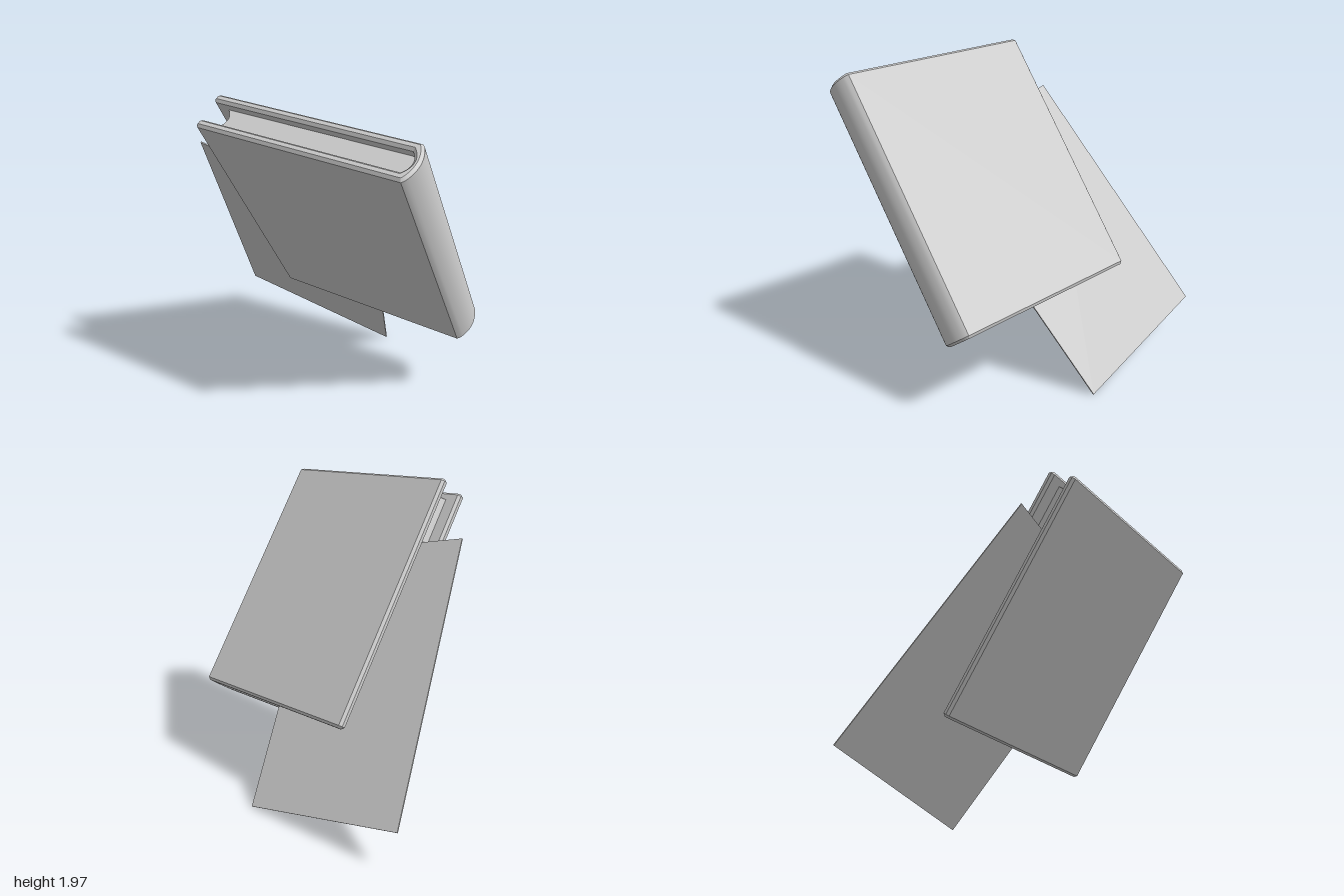
import * as THREE from 'three';
import { toCreasedNormals } from 'three/addons/utils/BufferGeometryUtils.js';

const THICK = 0.245, HEIGHT = 1.63, BOARD = 0.055, BEVEL = 0.016;
const FORE = -0.453, JOINT = 0.87;           // fore-edge and spine joint along local z
const H = THICK / 2, T = H - BOARD;          // outer and inner half thickness

const material = new THREE.MeshStandardMaterial({ color: 0xcccccc });

// Extrudes a plan outline (x, -z) upwards, centred on y = 0
function standing(name, shape, height, bevel) {
  const geo = new THREE.ExtrudeGeometry(shape, {
    depth: height - 2 * bevel, curveSegments: 12,
    bevelEnabled: bevel > 0, bevelSize: bevel, bevelThickness: bevel,
    bevelOffset: -bevel, bevelSegments: 1,
  });
  geo.translate(0, 0, bevel - height / 2).rotateX(-Math.PI / 2);
  const mesh = new THREE.Mesh(toCreasedNormals(geo, 0.5), material);
  mesh.name = name;
  return mesh;
}

// Both boards and the rounded spine as one C-shaped outline
function caseShape() {
  const f = -FORE, j = -JOINT, b = BEVEL;
  const s = new THREE.Shape();
  s.moveTo(H, f - b);
  s.lineTo(H, j + b);
  s.lineTo(H - b, j);
  s.quadraticCurveTo(0, j - 0.06, -H + b, j);
  s.lineTo(-H, j + b);
  s.lineTo(-H, f - b);
  s.lineTo(-H + b, f);
  s.lineTo(-T - b, f);
  s.lineTo(-T, f - b);
  s.lineTo(-T, j + 0.045);
  s.quadraticCurveTo(0, j - 0.02, T, j + 0.045);
  s.lineTo(T, f - b);
  s.lineTo(T + b, f);
  s.lineTo(H - b, f);
  s.closePath();
  return s;
}

// Page block: hollow fore-edge, rounded back
function pageShape() {
  const f = -FORE - 0.09, back = -JOINT + 0.045, x = T + 0.002;
  const s = new THREE.Shape();
  s.moveTo(x, f);
  s.lineTo(x, back);
  s.quadraticCurveTo(0, back - 0.06, -x, back);
  s.lineTo(-x, f);
  s.quadraticCurveTo(0, f - 0.08, x, f);
  return s;
}

export function createModel() {
  const model = new THREE.Group();
  model.name = 'bookWithLooseSheet';

  // Leaning frame: x out of the cover, y towards the head, z out of the spine
  const out = new THREE.Vector3(0.82, 0.568, 0.003).normalize();
  const up = new THREE.Vector3(-0.567, 0.819, 0.053);
  up.addScaledVector(out, -up.dot(out)).normalize();
  const spine = new THREE.Vector3().crossVectors(out, up);

  const book = new THREE.Group();
  book.name = 'book';
  book.quaternion.setFromRotationMatrix(new THREE.Matrix4().makeBasis(out, up, spine));
  book.position.addScaledVector(out, 0.6).addScaledVector(up, 1.075);
  model.add(book);

  book.add(standing('coverAndSpine', caseShape(), HEIGHT, BEVEL));
  book.add(standing('pageBlock', pageShape(), HEIGHT - 0.11, 0));

  // Loose sheet slipping out of the fore-edge
  const sheet = new THREE.Mesh(new THREE.BoxGeometry(0.008, 1.757, 1.139), material);
  sheet.name = 'looseSheet';
  sheet.position.set(-0.03, -0.475, -0.26);
  sheet.rotation.x = 0.206;
  book.add(sheet);

  return model;
}
